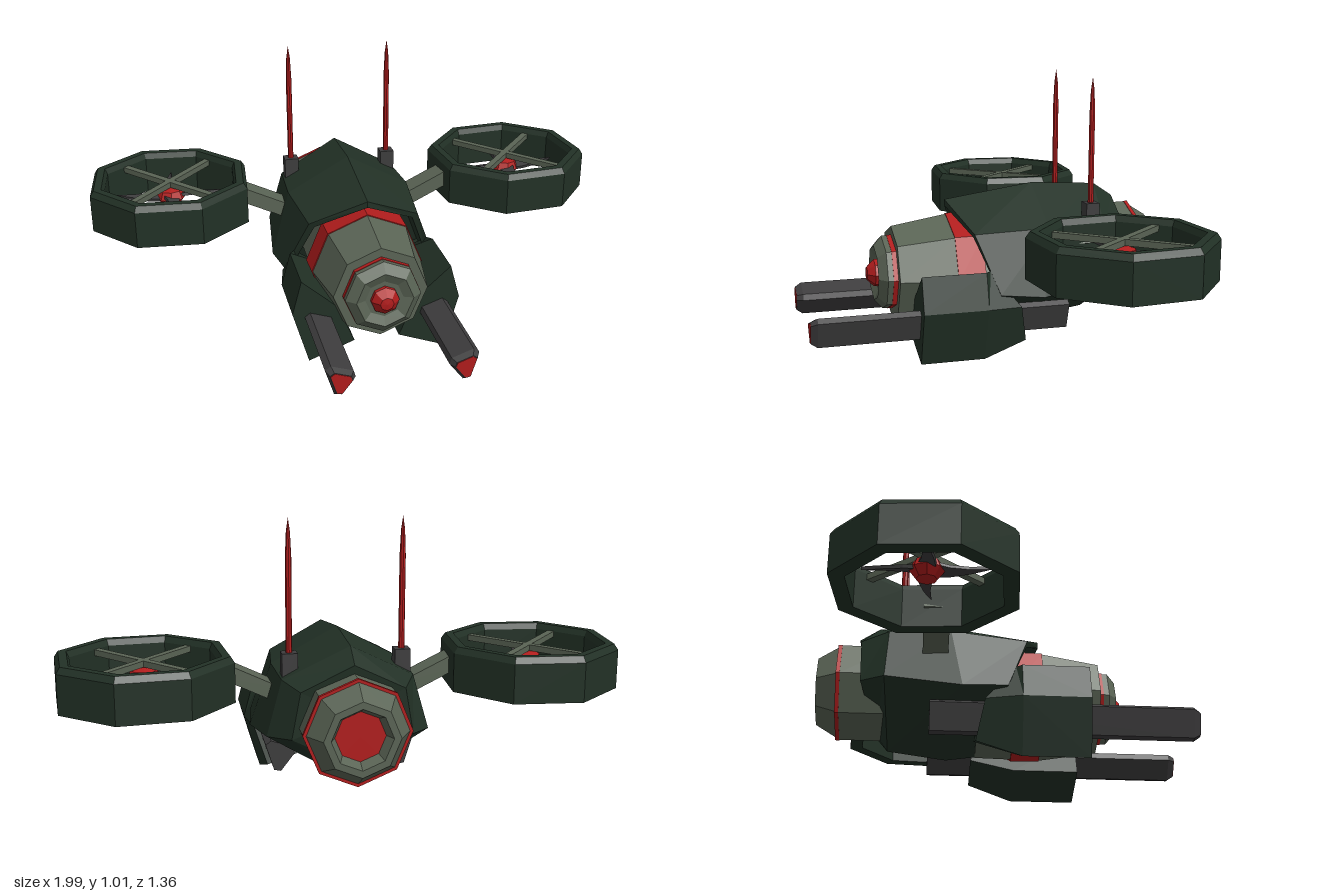
import * as THREE from 'three';

const mat = (color) => new THREE.MeshStandardMaterial({ color, flatShading: true });
const GREEN = mat(0x223126), GREY = mat(0x5a6455), DARK = mat(0x3d3c3d), RED = mat(0xb01c1c);

function add(parent, name, geometry, material) {
  const mesh = new THREE.Mesh(geometry, material);
  mesh.name = name;
  parent.add(mesh);
  return mesh;
}

// Skin over rings of [x, y, z], front to back, each clockwise seen from the front
function loft(rings) {
  const n = rings[0].length, index = [];
  const center = (r) => [0, 1, 2].map((k) => r.reduce((s, p) => s + p[k], 0) / n);
  const points = [...rings.flat(), center(rings[0]), center(rings.at(-1))];
  const last = (rings.length - 1) * n, c = rings.length * n;
  for (let i = 0; i < n; i++) {
    const j = (i + 1) % n;
    for (let o = 0; o < last; o += n) {
      index.push(o + i, o + j, o + n + i, o + j, o + n + j, o + n + i);
    }
    index.push(j, i, c, last + i, last + j, c + 1);
  }
  const g = new THREE.BufferGeometry();
  g.setAttribute('position', new THREE.Float32BufferAttribute(points.flat(), 3));
  g.setIndex(index);
  g.computeVertexNormals();
  return g;
}

const lathe = (profile) => new THREE.LatheGeometry(profile.map(([r, y]) => new THREE.Vector2(r, y)), 8);
// Eight-sided body along z from [radius, z] pairs, back to front
const turned = (profile, y) => lathe(profile).rotateX(Math.PI / 2).translate(0, y, 0);

// Six-cornered hull ring from its top, upper side, lower side and bottom corners
const hullRing = ([t, u, l, b]) => [t, u, l, b, [-l[0], l[1], l[2]], [-u[0], u[1], u[2]]];
const inset = (ring, s, dz) => ring.map(([x, y, z]) => [x * s, 0.32 + (y - 0.32) * s, z + dz]);

function buildBody(root) {
  const front = hullRing([[0, 0.556, 0.137], [0.21, 0.46, 0.075], [0.295, 0.25, 0], [0, 0.09, -0.08]]);
  const rest = [
    [[0, 0.605, -0.205], [0.24, 0.475, -0.2], [0.315, 0.237, -0.16], [0, 0.072, -0.205]],
    [[0, 0.59, -0.46], [0.23, 0.47, -0.42], [0.285, 0.275, -0.43], [0, 0.1, -0.415]],
    [[0, 0.54, -0.535], [0.18, 0.45, -0.52], [0.21, 0.285, -0.515], [0, 0.165, -0.46]],
  ].map(hullRing);
  add(root, 'hull', loft([inset(front, 0.9, -0.12), inset(front, 0.9, 0), front, ...rest]), GREEN);

  // Nose
  const axis = 0.29;
  add(root, 'nose', turned([[0, -0.1], [0.205, -0.1], [0.21, 0.13], [0.175, 0.343], [0, 0.343]], axis), GREY);
  add(root, 'noseBand', turned([[0.2, 0.03], [0.215, 0.03], [0.213, 0.134], [0.2, 0.134]], axis), RED);
  add(root, 'noseTrim', turned([[0, 0.335], [0.142, 0.335], [0.142, 0.36], [0, 0.36]], axis), RED);
  add(root, 'noseRing', turned([[0, 0.358], [0.14, 0.358], [0.14, 0.38], [0.105, 0.41], [0.07, 0.395], [0, 0.395]], axis), GREY);
  add(root, 'noseLamp', turned([[0, 0.39], [0.052, 0.39], [0.052, 0.41], [0.025, 0.437], [0, 0.44]], axis), RED);

  // Engine nozzle
  const exhaust = 0.325;
  add(root, 'nozzle', turned([[0.085, -0.635], [0.105, -0.677], [0.13, -0.677], [0.178, -0.6], [0.185, -0.59], [0.185, -0.4], [0, -0.4]], exhaust), GREY);
  add(root, 'nozzleTrim', turned([[0.165, -0.604], [0.187, -0.604], [0.187, -0.59], [0.165, -0.59]], exhaust), RED);
  add(root, 'nozzleGlow', turned([[0, -0.638], [0.095, -0.638], [0.095, -0.62], [0, -0.62]], exhaust), RED);
}

function buildRotor() {
  const rotor = new THREE.Group();
  rotor.name = 'rotor';
  const duct = [[0.265, 0.39], [0.32, 0.39], [0.32, 0.53], [0.305, 0.552], [0.275, 0.552], [0.265, 0.53], [0.265, 0.39]];
  add(rotor, 'duct', lathe(duct).rotateY(THREE.MathUtils.degToRad(27.5)), GREEN);
  for (const turn of [0.86, -0.86]) {
    const spoke = add(rotor, 'spoke', new THREE.BoxGeometry(0.54, 0.022, 0.026), GREY);
    spoke.position.y = 0.52;
    spoke.rotation.y = turn;
  }
  add(rotor, 'hub', lathe([[0, 0.43], [0.035, 0.435], [0.058, 0.465], [0.045, 0.495], [0, 0.51]]), RED);

  // Curved, pointed blades
  const outline = new THREE.Shape();
  outline.moveTo(0.02, -0.03);
  outline.quadraticCurveTo(0.1, -0.03, 0.21, 0.02);
  outline.quadraticCurveTo(0.09, 0.005, 0.02, 0.035);
  const blade = new THREE.ExtrudeGeometry(outline, { depth: 0.012, bevelEnabled: false, curveSegments: 3 });
  blade.rotateX(-Math.PI / 2 + 0.25);
  for (let i = 0; i < 4; i++) {
    const b = add(rotor, 'blade', blade, DARK);
    b.position.y = 0.465;
    b.rotation.y = i * Math.PI / 2;
  }
  rotor.position.set(0.69, 0, -0.295);
  return rotor;
}

function buildSide() {
  const side = new THREE.Group();
  side.add(buildRotor());

  // Sloping arm between hull and duct
  const arm = add(side, 'rotorArm', new THREE.BoxGeometry(0.24, 0.055, 0.09), GREY);
  arm.position.set(0.33, 0.435, -0.255);
  arm.rotation.z = 0.45;

  // Gun pod
  const pod = [[0.28, 0.335], [0.315, 0.205], [0.257, 0.005], [0.085, 0.07], [0.15, 0.22]];
  const podRing = (z) => pod.map(([x, y]) => [x, y, z]);
  const podRear = [[0.26, 0.335, 0.03], [0.29, 0.2, -0.08], [0.245, 0.06, -0.11], [0.1, 0.11, -0.11], [0.15, 0.22, -0.08]];
  add(side, 'gunPod', loft([podRing(0.288), podRing(0.05), podRear]), GREEN);

  // Barrel: blunted triangle with a chamfered muzzle
  const section = [[0.25, 0.205], [0.27, 0.19], [0.24, 0.095], [0.215, 0.09], [0.165, 0.155], [0.172, 0.178]];
  const ring = (z, s) => section.map(([x, y]) => [0.22 + (x - 0.22) * s, 0.152 + (y - 0.152) * s, z]);
  add(side, 'barrel', loft([ring(0.678, 0.75), ring(0.655, 1), ring(-0.27, 1)]), DARK);
  add(side, 'muzzle', loft([ring(0.68, 0.7), ring(0.67, 0.7)]), RED);

  // Antenna
  add(side, 'antennaBase', new THREE.BoxGeometry(0.055, 0.1, 0.05).translate(0.198, 0.505, -0.373), DARK);
  add(side, 'antenna', lathe([[0, 0.54], [0.011, 0.54], [0.011, 0.88], [0.007, 0.97], [0, 1.018]]).translate(0.198, 0, -0.373), RED);
  return side;
}

export function createModel() {
  const root = new THREE.Group();
  root.name = 'aircraft';
  buildBody(root);
  const left = buildSide(), right = buildSide();
  left.name = 'leftSide';
  right.name = 'rightSide';
  right.scale.x = -1;
  root.add(left, right);
  return root;
}
